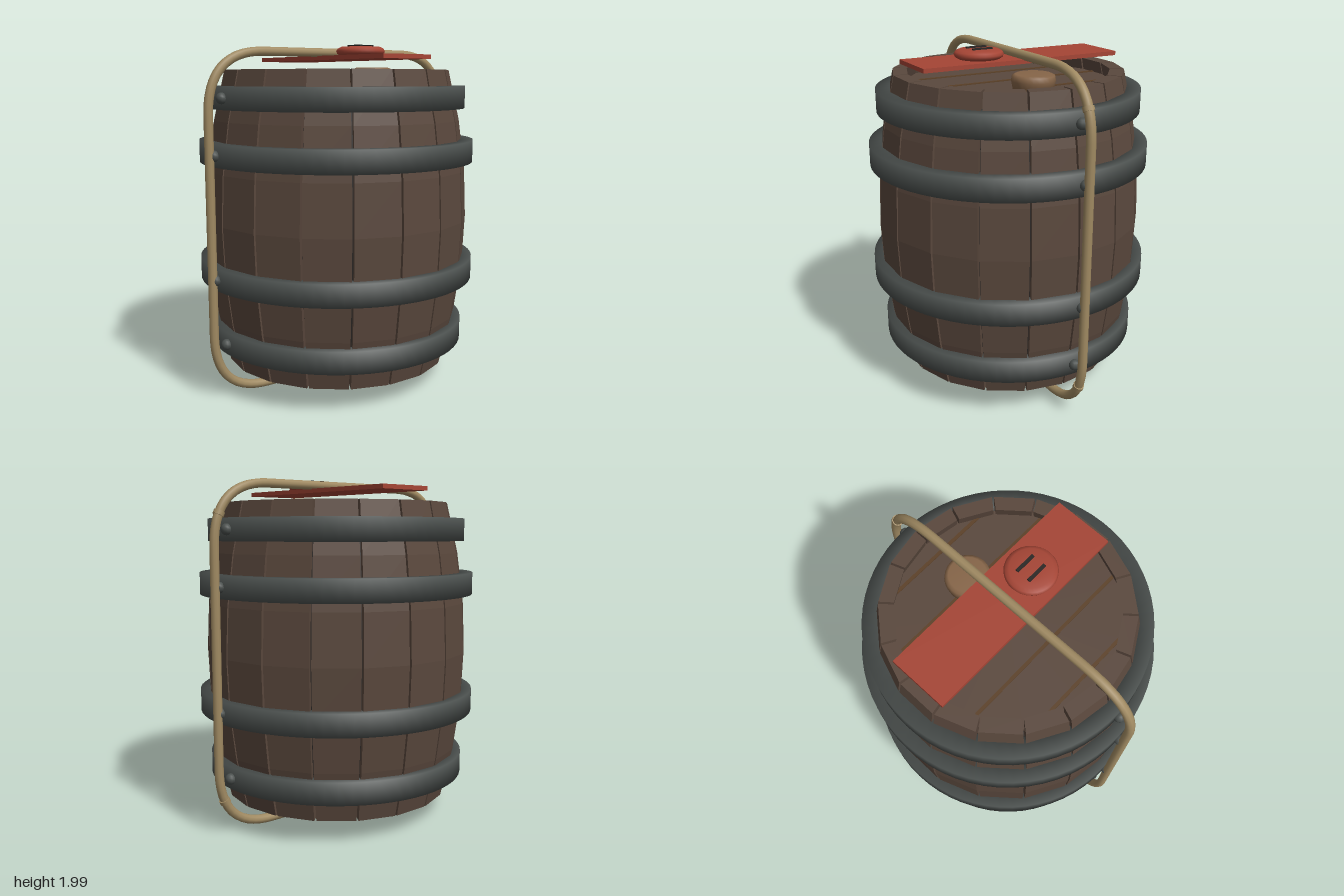
import * as THREE from 'three';

const mat = (color, extra = {}) => new THREE.MeshStandardMaterial({ color, ...extra });
const BOTTOM = 0.13, TOP = 1.86, MID = (BOTTOM + TOP) / 2, HALF = (TOP - BOTTOM) / 2;
const STAVES = 18;
// bulging barrel profile: distance from the axis to the outer stave face
const radiusAt = y => 0.773 - 0.118 * ((y - MID) / HALF) ** 2;

export function createModel() {
  const model = new THREE.Group();
  const wood = mat(0x5a483d, { flatShading: true });
  const lidWood = mat(0x5a483d);
  const dark = mat(0x2a2624);
  const iron = mat(0x4b504e);
  const rope = mat(0xa08a62);
  const red = mat(0xa54535);
  const seamWood = mat(0x5c4128);

  const add = (name, geometry, material, x = 0, y = 0, z = 0, parent = model) => {
    const mesh = new THREE.Mesh(geometry, material);
    mesh.name = name;
    mesh.position.set(x, y, z);
    parent.add(mesh);
    return mesh;
  };
  const lathe = (pts, segments) =>
    new THREE.LatheGeometry(pts.map(p => new THREE.Vector2(p[0], p[1])), segments);

  // one stave: a box bent to the barrel profile and wedged towards the axis
  const stave = new THREE.BoxGeometry(1, TOP - BOTTOM, 1, 1, 6, 1);
  const pos = stave.attributes.position;
  for (let i = 0; i < pos.count; i++) {
    const y = pos.getY(i) + MID;
    const r = radiusAt(y) - (pos.getZ(i) > 0 ? 0 : 0.08);
    const halfWidth = r * Math.tan(Math.PI / STAVES) - 0.006;
    pos.setXYZ(i, Math.sign(pos.getX(i)) * halfWidth, y, r);
  }
  stave.computeVertexNormals();
  const staves = new THREE.Group();
  staves.name = 'staves';
  model.add(staves);
  for (let i = 0; i < STAVES; i++) {
    add('stave', stave, wood, 0, 0, 0, staves).rotation.y = (i / STAVES) * Math.PI * 2;
  }

  // dark lining seen through the gaps between staves
  const lining = [];
  for (let i = 0; i <= 8; i++) {
    const y = 0.22 + (i / 8) * 1.55;
    lining.push([radiusAt(y) - 0.03, y]);
  }
  add('lining', lathe(lining, 36), dark);

  // recessed ends
  add('bottomPanel', new THREE.CylinderGeometry(0.62, 0.62, 0.03, 36), dark, 0, 0.225);
  add('lid', new THREE.CylinderGeometry(0.62, 0.62, 0.03, 36), lidWood, 0, 1.775);
  for (const x of [-0.51, -0.255, 0, 0.255, 0.51]) {
    const length = 2 * Math.sqrt(0.6 ** 2 - x * x);
    add('lidSeam', new THREE.BoxGeometry(0.018, 0.008, length), seamWood, x, 1.792);
  }
  add('bung', lathe([[0, 1.775], [0.11, 1.775], [0.123, 1.84], [0.118, 1.868], [0.1, 1.876], [0, 1.876]], 24),
    mat(0x866548), 0.28, 0, -0.005);

  // iron hoops, each riveted to the handle on both sides
  const hoops = [[1.705, 0.76], [1.395, 0.813], [0.702, 0.822], [0.318, 0.765]];
  for (const [y, r] of hoops) {
    const inner = r - 0.11, h = 0.064;
    add('hoop', lathe([[inner, -h], [r, -h], [r, h], [inner, h], [inner, -h]], 64), iron, 0, y);
    for (const side of [-1, 1]) {
      add('rivet', new THREE.SphereGeometry(0.032, 10, 8), iron, side * (r + 0.01), y, 0);
    }
  }

  // handle: one closed loop running round the barrel with soft corners
  const X = 0.85, Y0 = 0.032, Y1 = 1.96, C = 0.35;
  const v = (x, y) => new THREE.Vector3(x, y, -0.003);
  const loop = new THREE.CurvePath();
  const corners = [[X, Y1, 0, -1], [X, Y0, -1, 0], [-X, Y0, 0, 1], [-X, Y1, 1, 0]];
  corners.forEach(([x, y, dx, dy], i) => {
    const [px, py, ix, iy] = corners[(i + 3) % 4];
    const [nx, ny] = [px - x, py - y].map(Math.sign);
    const start = v(x + nx * C, y + ny * C);
    loop.add(new THREE.LineCurve3(v(px + ix * C, py + iy * C), start));
    loop.add(new THREE.QuadraticBezierCurve3(start, v(x, y), v(x + dx * C, y + dy * C)));
  });
  add('handle', new THREE.TubeGeometry(loop, 160, 0.026, 10, true), rope);
  for (const [y, tilt] of [[1.79, 0.45], [0.2, -0.45]]) {
    add('handleJoint', new THREE.CylinderGeometry(0.031, 0.031, 0.025, 12), rope, 0.817, y, -0.003).rotation.z = tilt;
  }

  // red strap across the top with a round slotted button
  add('strap', new THREE.BoxGeometry(0.337, 0.024, 1.215), red, 0.027, 1.928, -0.003);
  add('button', lathe([[0, 1.935], [0.115, 1.938], [0.134, 1.95], [0.14, 1.965], [0.132, 1.979],
    [0.112, 1.989], [0.06, 1.992], [0, 1.992]], 32), red, 0.027, 0, 0.2);
  for (const x of [-0.012, 0.066]) {
    add('buttonSlot', new THREE.BoxGeometry(0.018, 0.02, 0.12), dark, x, 1.99, 0.197);
  }
  return model;
}
